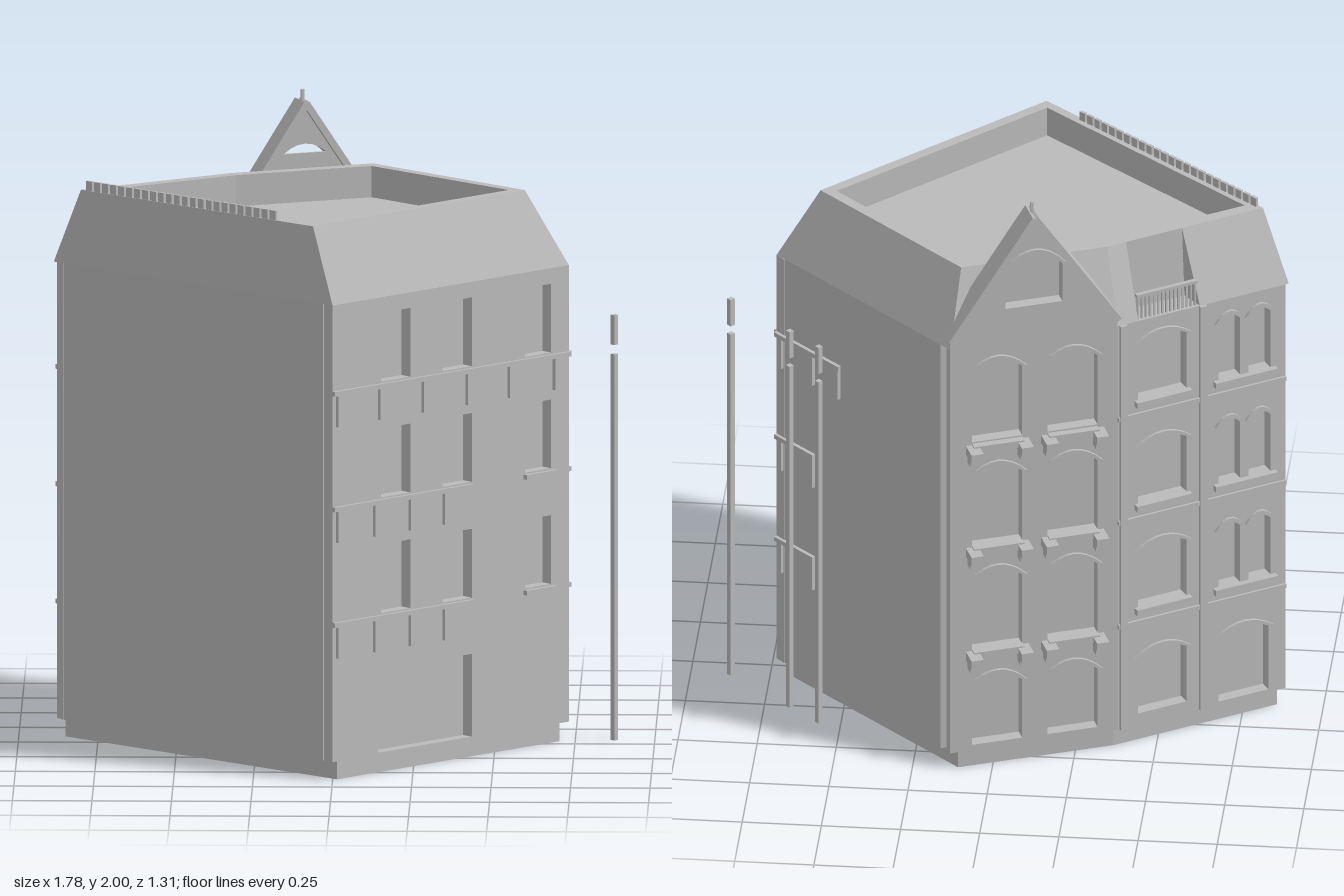
import * as THREE from 'three';

const stone = new THREE.MeshStandardMaterial({ color: 0xbababa, side: THREE.DoubleSide });
stone.name = 'grey stone';

// Footprint corners [x, z]; edges: street side, plain end, gabled front, side front, party wall
const B = [0, 0.645], C = [0.73, -0.06], D = [0.13, -0.61], E = [-0.38, -0.41], A = [-0.89, -0.09];
const plan = [B, C, D, E, A];

// Move every edge of a plan inward by its own distance
function inset(poly, dist) {
  const n = poly.length;
  const lines = poly.map((p, i) => {
    const q = poly[(i + 1) % n], l = Math.hypot(q[0] - p[0], q[1] - p[1]);
    const d = [(q[0] - p[0]) / l, (q[1] - p[1]) / l];
    return { p: [p[0] + d[1] * dist[i], p[1] - d[0] * dist[i]], d };
  });
  return lines.map((b, i) => {
    const a = lines[(i + n - 1) % n];
    const t = ((b.p[0] - a.p[0]) * b.d[1] - (b.p[1] - a.p[1]) * b.d[0]) / (a.d[0] * b.d[1] - a.d[1] * b.d[0]);
    return [a.p[0] + a.d[0] * t, a.p[1] + a.d[1] * t];
  });
}

const planShape = (poly) => new THREE.Shape(poly.map(([x, z]) => new THREE.Vector2(x, -z)));

function add(parent, name, geo) {
  const m = new THREE.Mesh(geo, stone);
  m.name = name;
  parent.add(m);
  return m;
}

function prism(parent, name, poly, y0, y1) {
  const g = new THREE.ExtrudeGeometry(planShape(poly), { depth: y1 - y0, bevelEnabled: false });
  add(parent, name, g.rotateX(-Math.PI / 2).translate(0, y0, 0));
}

// Flat-faced skin between matching closed loops of [x, z] at given heights
function loft(parent, name, loops, heights) {
  const v = [];
  for (let k = 0; k + 1 < loops.length; k++) {
    loops[k].forEach((_, i) => {
      const j = (i + 1) % loops[k].length;
      const at = (r, s) => [loops[r][s][0], heights[r], loops[r][s][1]];
      const a = at(k, i), b = at(k, j), c = at(k + 1, j), d = at(k + 1, i);
      v.push(...a, ...b, ...c, ...a, ...c, ...d);
    });
  }
  const g = new THREE.BufferGeometry();
  g.setAttribute('position', new THREE.Float32BufferAttribute(v, 3));
  g.computeVertexNormals();
  add(parent, name, g);
}

// Group whose x runs along a wall and whose z points out of it
function facade(parent, name, p, q) {
  const g = new THREE.Group();
  g.name = name;
  g.position.set(p[0], 0, p[1]);
  g.rotation.y = Math.atan2(p[1] - q[1], q[0] - p[0]);
  g.userData.length = Math.hypot(q[0] - p[0], q[1] - p[1]);
  parent.add(g);
  return g;
}

function box(parent, name, x0, x1, y0, y1, z0, z1) {
  const g = new THREE.BoxGeometry(x1 - x0, y1 - y0, z1 - z0);
  return add(parent, name, g.translate((x0 + x1) / 2, (y0 + y1) / 2, (z0 + z1) / 2));
}

// Opening outline; rise > 0 gives an arched head
function opening(path, { x0, x1, y0, y1, rise = 0 }) {
  path.moveTo(x0, y0).lineTo(x1, y0).lineTo(x1, y1 - rise);
  if (rise) path.quadraticCurveTo((x0 + x1) / 2, y1 + rise, x0, y1 - rise);
  else path.lineTo(x0, y1);
  path.closePath();
  return path;
}

function wall(parent, name, outline, holes, depth = 0.04) {
  const s = new THREE.Shape(outline.map(([x, y]) => new THREE.Vector2(x, y)));
  holes.forEach((h) => s.holes.push(opening(new THREE.Path(), h)));
  const g = new THREE.ExtrudeGeometry(s, { depth, bevelEnabled: false, curveSegments: 8 });
  add(parent, name, g.translate(0, 0, -depth));
}

// Thin raised moulding over an arched head
function hood(parent, { x0, x1, y1, rise }) {
  const s = new THREE.Shape(), m = (x0 + x1) / 2, y = y1 - rise, t = 0.014;
  s.moveTo(x1, y).lineTo(x1 + t, y).quadraticCurveTo(m, y1 + rise + 2 * t, x0 - t, y);
  s.lineTo(x0, y).quadraticCurveTo(m, y1 + rise, x1, y);
  add(parent, 'windowHood', new THREE.ExtrudeGeometry(s, { depth: 0.01, bevelEnabled: false, curveSegments: 8 }));
}

const rect = (l, y0, y1) => [[0, y0], [l, y0], [l, y1], [0, y1]];

export function createModel() {
  const root = new THREE.Group();
  root.name = 'building';
  const eaves = 1.52, top = 1.76;

  // Core behind the pierced walls, and the set-back base
  prism(root, 'core', inset(plan, [0.04, 0, 0.04, 0.04, 0]), 0.06, eaves);
  prism(root, 'base', inset(plan, [0.01, 0.03, 0.01, 0.012, 0.03]), 0, 0.06);

  // Street side: square windows, entrance, ledges with hanging brackets
  const street = facade(root, 'streetSide', B, C), k = street.userData.length / 0.73;
  const holes = [{ x0: 0.14 * k, x1: 0.43 * k, y0: 0.065, y1: 0.33 }];
  for (const y of [0.51, 0.88, 1.25])
    for (const [a, b] of [[0.15, 0.24], [0.34, 0.43], [0.595, 0.675]])
      holes.push({ x0: a * k, x1: b * k, y0: y, y1: y + 0.22 });
  wall(street, 'streetWall', rect(street.userData.length, 0.06, eaves), holes);
  for (const y of [0.505, 0.875, 1.245]) {
    const full = y > 1;
    box(street, 'ledge', 0, (full ? 0.73 : 0.43) * k, y - 0.015, y, 0, 0.012);
    if (!full) box(street, 'sill', 0.59 * k, 0.685 * k, y - 0.015, y, 0, 0.015);
    for (const x of full ? [0.01, 0.14, 0.275, 0.41, 0.54, 0.68] : [0.01, 0.125, 0.235, 0.34])
      box(street, 'hangingBracket', x * k, (x + 0.014) * k, y - 0.115, y, 0, 0.012);
  }

  // Plain end: short ledges returning from the street side
  const end = facade(root, 'plainEnd', C, D);
  for (const [y, l] of [[0.505, 0.18], [0.875, 0.18], [1.245, 0.3]]) {
    box(end, 'ledge', 0, l, y - 0.015, y, 0, 0.012);
    for (const x of [0.02, 0.165, 0.285])
      if (x < l) box(end, 'hangingBracket', x, x + 0.014, y - 0.12, y, 0, 0.012);
  }

  // Gabled front: paired arched windows with sills and consoles
  const front = facade(root, 'gabledFront', D, E), w = front.userData.length;
  const arches = [];
  for (const y1 of [0.33, 0.71, 1.085, 1.465])
    for (const [a, b] of [[0.13, 0.43], [0.58, 0.88]])
      arches.push({ x0: a * w, x1: b * w, y0: y1 - (y1 < 0.5 ? 0.25 : 0.29), y1, rise: 0.035 });
  arches.forEach((o) => { o.y0 = Math.max(o.y0, 0.08); hood(front, o); });
  wall(front, 'gabledWall', rect(w, 0.06, eaves), arches);
  for (const y of [0.4, 0.775, 1.145]) {
    for (const [a, b] of [[0.13, 0.43], [0.58, 0.88]]) box(front, 'sill', a * w, b * w, y, y + 0.025, 0, 0.025);
    for (const t of [0.13, 0.43, 0.58, 0.88]) {
      box(front, 'console', t * w - 0.02, t * w + 0.02, y - 0.01, y + 0.02, 0, 0.065);
      box(front, 'consoleFoot', t * w - 0.015, t * w + 0.015, y - 0.04, y - 0.01, 0, 0.035);
    }
  }

  // Gable with arched window, coping and finial
  const apex = 1.96, attic = { x0: 0.33 * w, x1: 0.67 * w, y0: 1.64, y1: 1.83, rise: 0.05 };
  wall(front, 'gable', [[0, eaves], [w, eaves], [w, 1.55], [w / 2, apex], [0, 1.55]], [attic], 0.05);
  hood(front, attic);
  box(front, 'atticPane', attic.x0 - 0.01, attic.x1 + 0.01, 1.62, 1.8, -0.05, -0.04);
  const run = Math.hypot(w / 2, apex - 1.55), tilt = Math.atan2(apex - 1.55, w / 2);
  for (const s of [-1, 1]) {
    const cope = add(front, 'coping', new THREE.BoxGeometry(run, 0.022, 0.085));
    cope.position.set(w / 2 + s * w / 4, (apex + 1.55) / 2, -0.025);
    cope.rotation.z = -s * tilt;
  }
  box(front, 'finial', w / 2 - 0.005, w / 2 + 0.005, 1.95, 2, -0.03, -0.02);

  // Side front: one arched bay, one paired bay, arched entrance
  const side = facade(root, 'sideFront', E, A), l = side.userData.length - 0.012;
  const bays = [];
  for (const y1 of [0.33, 0.715, 1.09, 1.465])
    for (const [a, b] of y1 < 0.5 ? [[0.12, 0.41], [0.6, 0.9]] : [[0.12, 0.41], [0.6, 0.73], [0.78, 0.91]])
      bays.push({ x0: a * l, x1: b * l, y0: y1 < 0.5 && a > 0.5 ? 0.07 : y1 - 0.23, y1, rise: 0.025 });
  bays.forEach((o) => hood(side, o));
  wall(side, 'sideWall', rect(l, 0.06, eaves), bays);
  for (const y of [0.465, 0.84, 1.215]) {
    box(side, 'sill', 0.1 * l, 0.43 * l, y, y + 0.02, 0, 0.02);
    box(side, 'sill', 0.57 * l, 0.94 * l, y, y + 0.02, 0, 0.02);
    box(side, 'stringCourse', 0, l, y - 0.04, y - 0.025, 0, 0.008);
  }
  for (const t of [0.01, 0.485]) box(side, 'pilaster', t * l, t * l + 0.025, 0.06, eaves, 0, 0.012);

  // Steep roof with a recessed balcony cut into the side front
  const upper = inset(plan, [0.095, 0.095, 0.09, 0.09, 0.015]);
  const deep = inset(plan, [0.08, 0.08, 0.08, 0.08, 0.01]);
  const mix = (p, q, t) => [p[0] + (q[0] - p[0]) * t, p[1] + (q[1] - p[1]) * t];
  const cut = [0.12, 0.48];
  const [P, Q] = cut.map((t) => mix(E, A, t));
  const [p, q] = cut.map((t) => mix(deep[3], deep[4], t));
  const [pt, qt] = cut.map((t) => mix(upper[3], upper[4], t));
  loft(root, 'steepRoof', [
    [B, C, D, E, P, p, q, Q, A],
    [upper[0], upper[1], upper[2], upper[3], pt, pt, qt, qt, upper[4]],
  ], [eaves, top]);
  for (let i = 0; i <= 14; i++) {
    const x = (0.13 + 0.34 * i / 14) * l;
    box(side, 'baluster', x - 0.003, x + 0.003, eaves, 1.6, -0.015, -0.009);
  }
  box(side, 'handrail', 0.12 * l, 0.48 * l, 1.6, 1.61, -0.02, -0.005);

  // Flat rim, sunken deck and its lining
  const rim = inset(upper, [0.035, 0.035, 0.04, 0.04, 0.03]);
  loft(root, 'roofRim', [upper, rim, rim], [top, top, 1.66]);
  add(root, 'roofDeck', new THREE.ShapeGeometry(planShape(rim)).rotateX(-Math.PI / 2).translate(0, 1.66, 0));

  // Toothed edge along the party wall
  const edge = facade(root, 'toothedEdge', upper[4], upper[0]);
  for (let x = 0.02; x < edge.userData.length * 0.82; x += 0.033)
    box(edge, 'tooth', x, x + 0.024, top, 1.79, -0.012, -0.002);

  // Free-standing pipes beside the plain end
  for (const [x, z] of [[0.57, -0.345], [0.67, -0.255], [0.873, -0.07]])
    for (const [y0, y1] of [[0, 1.235], [1.265, 1.36]]) {
      const pipe = add(root, 'pipe', new THREE.BoxGeometry(0.017, y1 - y0, 0.017));
      pipe.position.set(x, (y0 + y1) / 2, z);
      pipe.rotation.y = Math.PI / 4;
    }
  return root;
}
